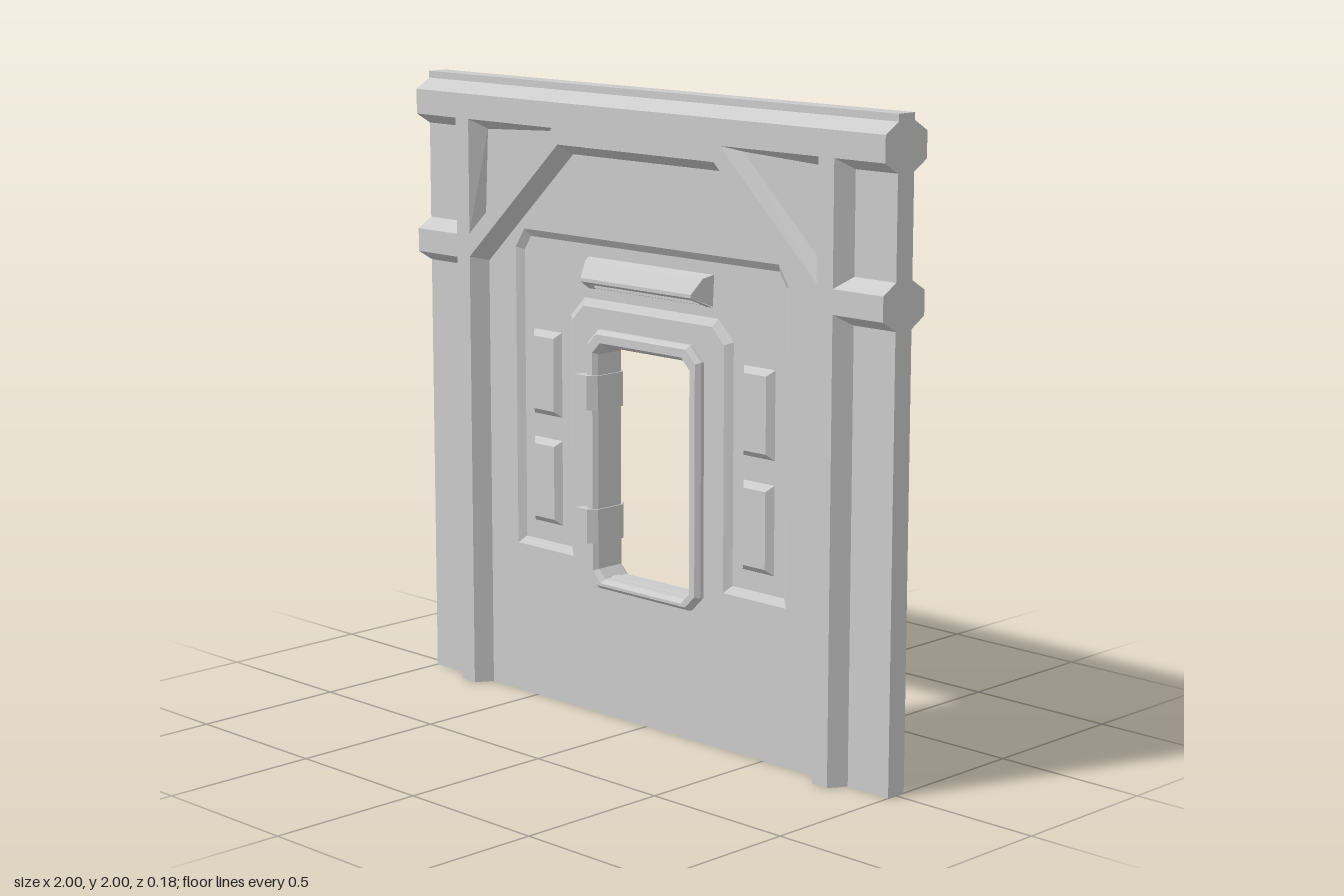
import * as THREE from 'three';

const material = new THREE.MeshStandardMaterial({ color: 0xcccccc, flatShading: true });
const vec = pts => pts.map(([x, y]) => new THREE.Vector2(x, y));
const clamp = THREE.MathUtils.clamp;

// Moves every vertex by a rule and refreshes the flat normals
function reshape(geo, rule) {
  const p = geo.attributes.position, v = new THREE.Vector3();
  for (let i = 0; i < p.count; i++) {
    rule(v.fromBufferAttribute(p, i));
    p.setXYZ(i, v.x, v.y, v.z);
  }
  geo.computeVertexNormals();
  return geo;
}

// Plate centred on z = 0, chamfered on both faces and trimmed to the wall's outline.
// The outline describes the face; the chamfer spreads by `spread` down to `body`.
function plate(name, outline, holes, body, face, spread) {
  const shape = new THREE.Shape(vec(outline));
  for (const h of holes) shape.holes.push(new THREE.Path(vec(h)));
  const geo = new THREE.ExtrudeGeometry(shape, {
    depth: body * 2, bevelEnabled: spread > 0, bevelSegments: 1,
    bevelThickness: face - body, bevelSize: spread,
  });
  geo.translate(0, 0, -body);
  reshape(geo, v => { v.x = clamp(v.x, -1, 1); v.y = clamp(v.y, 0, 2); });
  const mesh = new THREE.Mesh(geo, material);
  mesh.name = name;
  return mesh;
}

const rect = (x0, y0, x1, y1) => [[x0, y0], [x1, y0], [x1, y1], [x0, y1]];
const cutRect = (w, y0, y1, c) => [
  [-w + c, y0], [w - c, y0], [w, y0 + c], [w, y1 - c],
  [w - c, y1], [-w + c, y1], [-w, y1 - c], [-w, y0 + c]];
const mirror = pts => pts.map(([x, y]) => [-x, y]).reverse();

// Light hood: sloped top, hollow underside, closed tapered ends
function hood() {
  const g = new THREE.Group();
  g.name = 'lampHood';
  const outer = [[0.01, 1.365], [0.02, 1.365], [0.085, 1.397], [0.085, 1.408], [0.05, 1.455], [0.02, 1.465], [0.01, 1.465]];
  const hollow = [[0.01, 1.365], [0.032, 1.371], [0.032, 1.415], [0.065, 1.415], [0.065, 1.387],
    ...outer.slice(2)];
  const part = (name, pts, x0, x1) => {
    const geo = new THREE.ExtrudeGeometry(new THREE.Shape(vec(pts)), { depth: x1 - x0, bevelEnabled: false });
    geo.rotateY(-Math.PI / 2).translate(x1, 0, 0);
    reshape(geo, v => { v.x *= 1 - Math.max(0, v.z - 0.02) * 1.8; });
    const m = new THREE.Mesh(geo, material);
    m.name = name;
    g.add(m);
  };
  part('hoodShell', hollow, -0.24, 0.24);
  part('hoodEndRight', outer, -0.27, -0.24);
  part('hoodEndLeft', outer, 0.24, 0.27);
  return g;
}

// Hinge clamp wrapping the window frame, narrower at its outer tip
function hinge(y) {
  const front = [[-0.31, 0.03], [-0.275, 0.08], [-0.22, 0.08], [-0.195, 0.055]];
  const pts = [...front, ...front.map(([x, z]) => [x, -z]).reverse()];
  const geo = new THREE.ExtrudeGeometry(new THREE.Shape(vec(pts)), { depth: 0.11, bevelEnabled: false });
  geo.rotateX(Math.PI / 2).translate(0, 0.055, 0);
  reshape(geo, v => { if (v.x < -0.3) v.y *= 0.7; });
  const m = new THREE.Mesh(geo, material);
  m.position.y = y;
  m.name = 'hinge';
  return m;
}

export function createModel() {
  const model = new THREE.Group();
  model.name = 'wallPanel';

  // Thin core: the floor of the recess
  model.add(plate('core', rect(-0.99, 0.005, 0.99, 1.99), [cutRect(0.22, 0.434, 1.22, 0.04)], 0.018, 0.018, 0));

  // Wall skin with the arched recess around the window
  const recessHalf = [[0.28, 1.31], [0.33, 1.26], [0.33, 0.495], [0.59, 0.495], [0.59, 1.465], [0.55, 1.527]];
  const recess = [...recessHalf, ...mirror(recessHalf)];
  model.add(plate('skin', rect(-1.1, -0.1, 1.1, 2.1),
    [recess, cutRect(0.24, 0.425, 1.235, 0.04)], 0.015, 0.035, 0.028));

  // Structural frame: posts, top beam, side rails and diagonal braces
  const half = [[0.335, 1.815], [0.75, 1.422], [0.75, -0.1], [0.81, -0.1], [0.81, 1.415], [1.1, 1.415],
    [1.1, 1.49], [0.81, 1.49], [0.81, 1.865], [1.1, 1.865], [1.1, 1.945]];
  const corner = [[0.75, 1.865], [0.36, 1.865], [0.75, 1.497]];
  model.add(plate('frame', [...half, ...mirror(half)], [corner, mirror(corner)], 0.035, 0.09, 0.033));

  // Window surround
  model.add(plate('windowFrame', cutRect(0.235, 0.429, 1.233, 0.04),
    [cutRect(0.212, 0.438, 1.207, 0.035)], 0.048, 0.063, 0.012));
  for (const y of [1.045, 0.617]) model.add(hinge(y));

  // Raised side panels
  for (const s of [-1, 1]) for (const [y0, y1] of [[0.93, 1.21], [0.577, 0.86]]) {
    const b = 0.022, x = s * 0.46, w = 0.067 - b;
    model.add(plate('sidePanel', rect(x - w, y0 + b, x + w, y1 - b), [], 0.015, 0.038, b));
  }

  // Lamp hoods on both faces
  const back = hood();
  back.rotation.y = Math.PI;
  model.add(hood(), back);
  return model;
}
